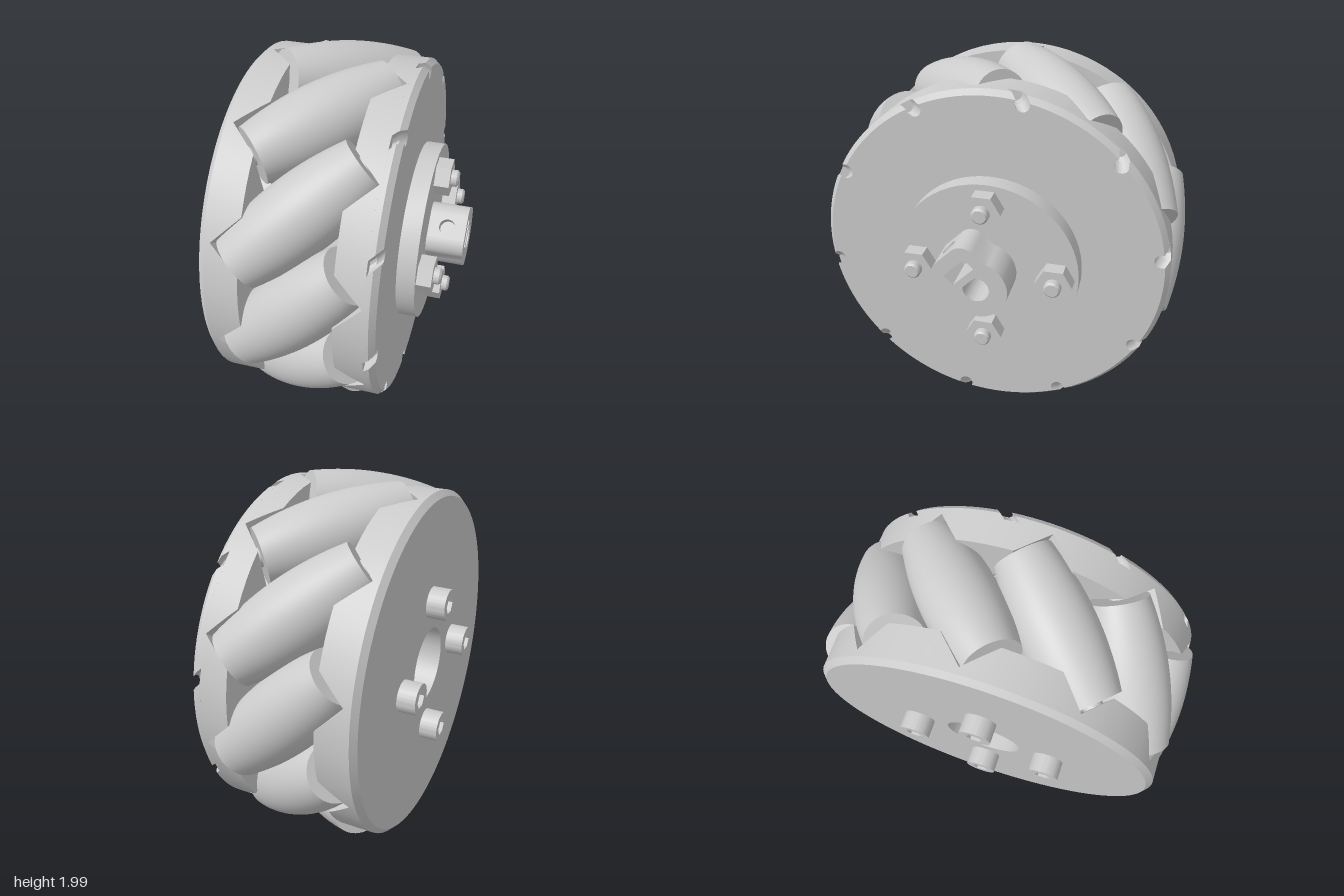
import * as THREE from 'three';
import { toCreasedNormals } from 'three/addons/utils/BufferGeometryUtils.js';

const N = 10, STEP = (Math.PI * 2) / N;  // rollers around the wheel
const RC = 0.8;                          // radius of the roller axes
const FACE = 0.4475;                     // half width between the outer faces
const INNER = 0.2375;                    // half width between the inner faces
const RIM = 0.95, BORE = 0.21, FLOOR = 0.62;
const END = 0.41, SIDE = 0.13;           // roller pocket: end wall and side wall
const polar = (r, a) => new THREE.Vector2(r * Math.cos(a), r * Math.sin(a));

const material = new THREE.MeshStandardMaterial({ color: 0xcccccc });

function add(parent, name, geometry, crease = 0.5) {
  const mesh = new THREE.Mesh(toCreasedNormals(geometry, crease), material);
  mesh.name = name;
  parent.add(mesh);
  return mesh;
}

// Extrude a shape along +x starting at x0 (shape x runs towards -z)
function extrudeX(shape, x0, depth, turn = 0) {
  return new THREE.ExtrudeGeometry(shape, { depth, bevelEnabled: false, curveSegments: 32 })
    .rotateZ(turn).rotateY(Math.PI / 2).translate(x0, 0, 0);
}

// Lathe around the x axis from [radius, x] pairs, given with x rising
function latheX(points, segments) {
  return new THREE.LatheGeometry(points.map(p => new THREE.Vector2(...p)), segments).rotateZ(-Math.PI / 2);
}

const circle = (r) => new THREE.Shape().absarc(0, 0, r, 0, Math.PI * 2);
const hexagon = (r) => new THREE.Shape(Array.from({ length: 6 }, (_, i) => polar(r, i * Math.PI / 3)));

// Side plate: closed cross-sections swept round x, with a V pocket for every roller
function plateGeometry(outerSection) {
  const s1 = -END * Math.SQRT2 + INNER, s2 = SIDE * Math.SQRT2 - INNER, sa = (SIDE - END) / Math.SQRT2;
  const section = [[BORE, 0], [FLOOR, 0], [FLOOR, 1], [0.7, 1], [0.78, 1], [0.87, 1], [RIM, 1]]
    .map(([r, pocket]) => ({ r, pocket }))
    .concat(outerSection.map(([r, x]) => ({ r, x })));
  const columns = [];
  for (let k = 0; k < N; k++) {
    for (let i = 0; i < 12; i++) {
      columns.push(section.map(({ r, pocket, x }) => {
        const re = Math.min(Math.max(r, FLOOR), RIM);
        let angle, px = -INNER;
        if (i < 8) {
          const s = i < 4 ? s1 + (sa - s1) * i / 4 : sa + (s2 - sa) * (i - 4) / 4;
          angle = Math.asin(s / re);
          if (pocket) px = Math.max(-END * Math.SQRT2 - s, -SIDE * Math.SQRT2 + s);
        } else {
          const a = Math.asin(s2 / re), b = Math.asin(s1 / re) + STEP;
          angle = a + (b - a) * (i - 8) / 4;
        }
        angle += (k + 0.5) * STEP;
        return [x ?? px, r * Math.cos(angle), -r * Math.sin(angle)];
      }));
    }
  }
  const n = section.length, index = [];
  columns.forEach((_, i) => {
    const next = (i + 1) % columns.length;
    for (let j = 0; j < n; j++) {
      const j2 = (j + 1) % n;
      const a = i * n + j, b = i * n + j2, c = next * n + j2, d = next * n + j;
      index.push(a, c, b, a, d, c);
    }
  });
  const g = new THREE.BufferGeometry();
  g.setAttribute('position', new THREE.Float32BufferAttribute(columns.flat(2), 3));
  g.setIndex(index);
  return g;
}

// Chamfered cover disc with slanted notches where the axle holes break out
function notchedDisc() {
  const depth = 0.06, hr = 0.04, hc = 0.935, alpha = 0.0395, beta = 1.207;
  const pts = [];
  for (let k = 0; k < N; k++) {
    const mid = Math.PI / 2 - 0.81 + k * STEP;
    const c = polar(hc, mid);
    for (let i = 0; i <= 8; i++) pts.push(polar(hr, mid - beta - i * (2 * Math.PI - 2 * beta) / 8).add(c));
    for (let i = 1; i < 10; i++) pts.push(polar(RIM, mid + alpha + (STEP - 2 * alpha) * i / 10));
  }
  const shape = new THREE.Shape(pts);
  shape.holes.push(circle(BORE));
  const g = new THREE.ExtrudeGeometry(shape, { depth, steps: 2, bevelEnabled: false, curveSegments: 32 });
  const p = g.attributes.position, v = new THREE.Vector2();
  for (let i = 0; i < p.count; i++) {
    const z = p.getZ(i);
    v.set(p.getX(i), p.getY(i)).rotateAround(new THREE.Vector2(), (depth - z) / hc);
    if (z > 0.05 && v.length() > 0.5) v.multiplyScalar(0.972);
    p.setXY(i, v.x, v.y);
  }
  return g.rotateY(Math.PI / 2).translate(FACE - depth, 0, 0);
}

// Barrel roller whose outline follows the wheel's outer circle
function rollerGeometry() {
  const h = 0.395, pts = [[0.05, -h]];
  for (let i = 0; i <= 16; i++) {
    const t = -h + (2 * h * i) / 16;
    pts.push([1 - Math.sqrt(RC * RC + t * t / 2), t]);
  }
  pts.push([0.05, h]);
  return latheX(pts, 48);
}

// D-shaped shaft hole, flat side towards +x of the shape
function shaftHole() {
  const a = Math.acos(0.052 / 0.07);
  return new THREE.Path().absarc(0, 0, 0.07, a, Math.PI * 2 - a).closePath();
}

// Hub boss outline: round body plus a lobe with a nut slot
function bossShape() {
  const half = [[0.092, 0.078], [0.162, 0.078], [0.162, 0.06]].map(p => new THREE.Vector2(...p));
  for (let i = 0; i <= 8; i++) half.push(polar(0.08, i * Math.PI / 16).add(new THREE.Vector2(0.158, 0.06)));
  for (let i = 0; i <= 16; i++) half.push(polar(0.165, 1.08 + (Math.PI - 1.08) * i / 16));
  const other = half.slice(0, -1).reverse().map(p => new THREE.Vector2(p.x, -p.y));
  const shape = new THREE.Shape([...half, ...other]);
  shape.holes.push(shaftHole());
  return shape;
}

export function createModel() {
  const model = new THREE.Group();
  model.name = 'rollerWheel';
  const wheel = new THREE.Group();
  wheel.name = 'wheel';
  wheel.position.set(-0.1025, 0.995, 0);
  model.add(wheel);

  // Side plates and inner core
  add(wheel, 'leftPlate', plateGeometry([[RIM, -FACE + 0.03], [0.92, -FACE], [BORE, -FACE]]));
  add(wheel, 'rightPlate', plateGeometry([[RIM, -FACE + 0.06], [BORE, -FACE + 0.06]])).rotation.y = Math.PI;
  add(wheel, 'notchedDisc', notchedDisc());
  add(wheel, 'core', latheX([[BORE, INNER], [BORE, -INNER], [0.58, -INNER], [0.58, INNER]], 64));

  // Skewed rollers on their axles
  const roller = rollerGeometry();
  const axle = new THREE.CylinderGeometry(0.05, 0.05, 0.86, 20).rotateZ(-Math.PI / 2);
  for (let k = 0; k < N; k++) {
    const arm = new THREE.Group();
    arm.name = 'rollerUnit';
    arm.rotation.x = -(k + 0.5) * STEP;
    for (const [name, g] of [['roller', roller], ['axle', axle]]) {
      const mesh = add(arm, name, g);
      mesh.position.y = RC;
      mesh.rotation.y = Math.PI / 4;
    }
    wheel.add(arm);
  }

  // Flange and shaft boss, lobe turned up and forward
  const turn = Math.PI * 0.75, top = FACE + 0.1;
  const flange = circle(0.495);
  flange.holes.push(shaftHole());
  add(wheel, 'flange', extrudeX(flange, FACE, 0.1, turn));
  add(wheel, 'shaftBoss', extrudeX(bossShape(), top, 0.2, turn));

  // Lobe wall with the set screw hole
  const wall = new THREE.Shape([[-0.1, -0.06], [0.1, -0.06], [0.1, 0.06], [-0.1, 0.06]].map(p => new THREE.Vector2(...p)));
  wall.holes.push(circle(0.043));
  add(wheel, 'setScrewWall', new THREE.ExtrudeGeometry(wall, { depth: 0.076, bevelEnabled: false, curveSegments: 24 })
    .translate(0, 0, 0.162).rotateX(-Math.PI / 4).translate(top + 0.1, 0, 0));

  // Four bolts: socket heads on the left, nuts and bolt ends on the right
  const head = circle(0.085);
  head.holes.push(hexagon(0.048));
  const headGeometry = extrudeX(head, -FACE - 0.1, 0.1);
  const nutGeometry = extrudeX(hexagon(0.1), top, 0.08);
  const endGeometry = latheX([[0.045, top], [0.045, top + 0.11], [0.035, top + 0.12], [0, top + 0.12]], 24);
  for (let i = 0; i < 4; i++) {
    const bolt = new THREE.Group();
    bolt.name = 'bolt';
    const p = polar(0.375, i * Math.PI / 2);
    bolt.position.set(0, p.x, p.y);
    add(bolt, 'socketHead', headGeometry);
    add(bolt, 'nut', nutGeometry);
    add(bolt, 'boltEnd', endGeometry);
    wheel.add(bolt);
  }
  return model;
}
